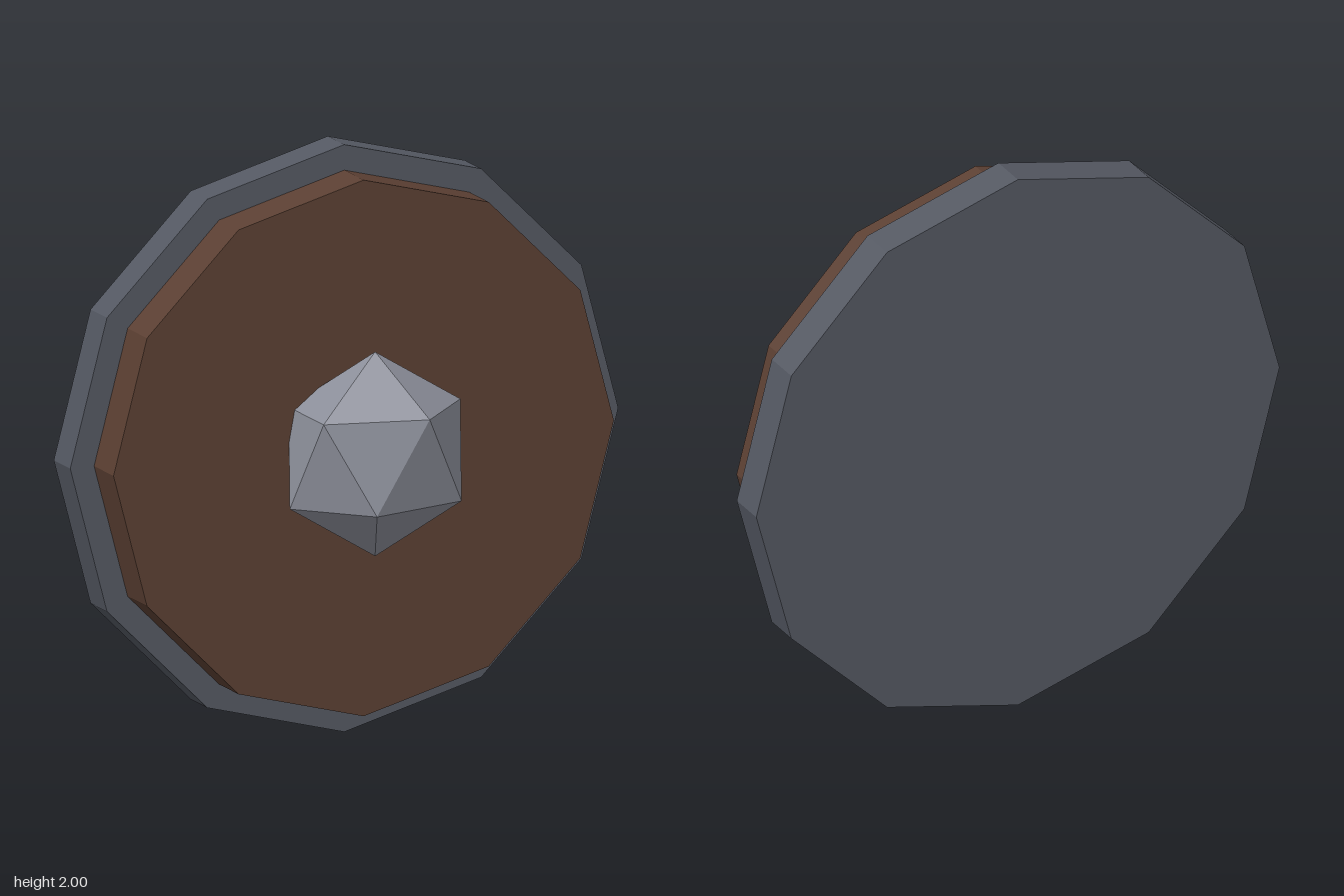
import * as THREE from 'three';
import { ConvexGeometry } from 'three/addons/geometries/ConvexGeometry.js';

function material(name, color) {
  const m = new THREE.MeshStandardMaterial({ color, flatShading: true });
  m.name = name;
  return m;
}

export function createModel() {
  const group = new THREE.Group();
  group.name = 'roundShield';

  const iron = material('dark iron', 0x555963);
  const wood = material('brown wood', 0x5c4033);
  const steel = material('light steel', 0x8d909b);

  function add(name, geometry, mat, z) {
    const mesh = new THREE.Mesh(geometry, mat);
    mesh.name = name;
    mesh.position.set(0, 1, z);
    group.add(mesh);
  }

  // Twelve-sided disc facing the front, spanning z0 to z1
  function addDisc(name, radius, z0, z1, mat) {
    const disc = new THREE.CylinderGeometry(radius, radius, z1 - z0, 12).rotateX(Math.PI / 2);
    add(name, disc, mat, (z0 + z1) / 2);
  }

  addDisc('backPlate', 1, -0.296, -0.167, iron);
  addDisc('woodFace', 0.913, -0.167, -0.015, wood);

  // Boss: icosahedron standing on a point, flattened front to back
  const r = 0.348, ringY = r / Math.sqrt(5), ringR = 2 * ringY;
  const points = [new THREE.Vector3(0, r, 0), new THREE.Vector3(0, -r, 0)];
  for (let i = 0; i < 10; i++) {
    const a = i * Math.PI / 5;
    points.push(new THREE.Vector3(ringR * Math.cos(a), i % 2 ? -ringY : ringY, ringR * Math.sin(a)));
  }
  add('boss', new ConvexGeometry(points).scale(1, 1, 0.75), steel, 0.074);

  return group;
}
